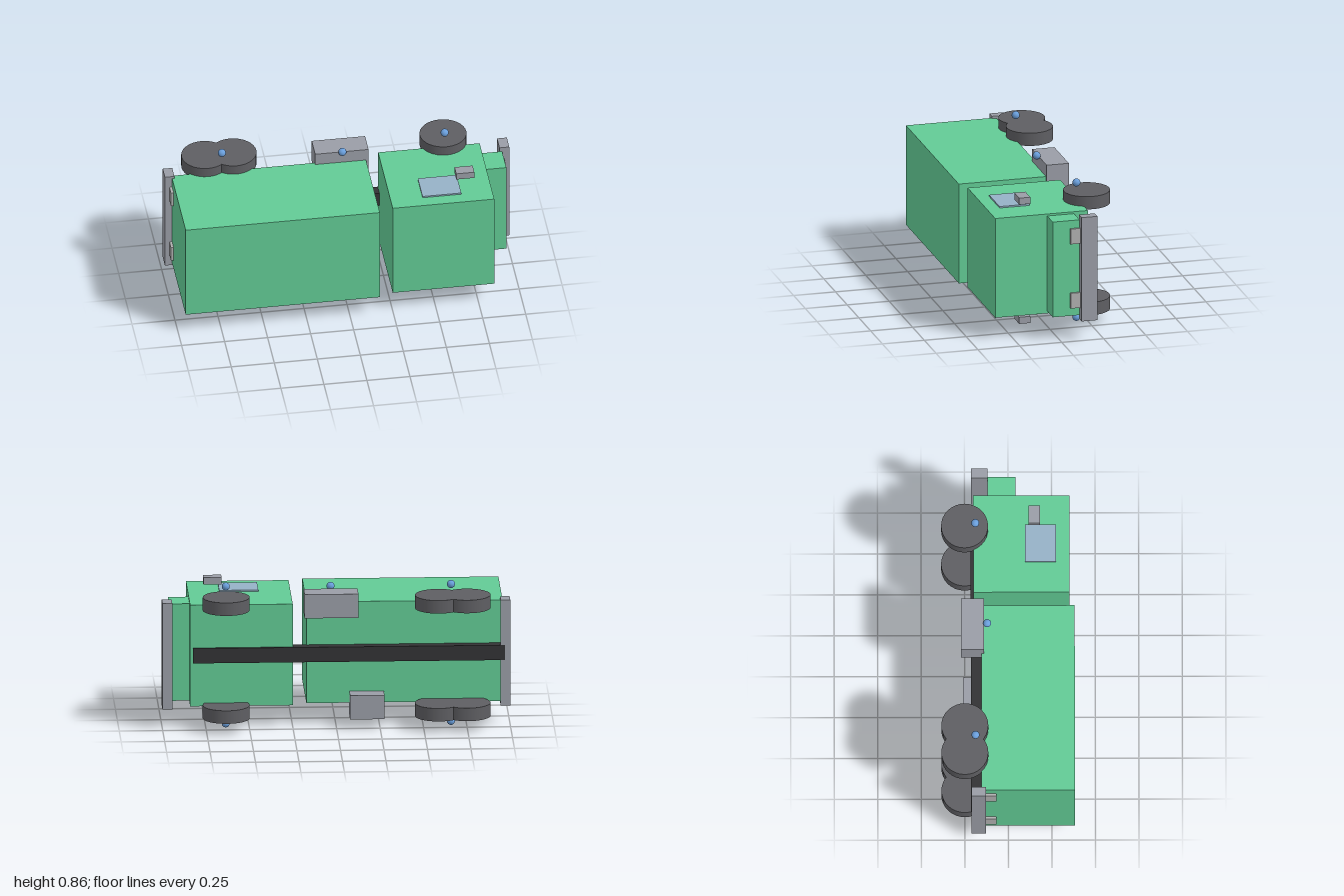
import * as THREE from 'three';

// Box truck lying on its side: nose towards +x, roof towards +z, width along y.
const MID = 0.43; // height of the truck's centre plane

const mat = (color) => new THREE.MeshStandardMaterial({ color });

export function createModel() {
  const truck = new THREE.Group();
  truck.name = 'truck';

  const paint = mat(0x62cb95);
  const metal = mat(0x9a9da6);
  const rubber = mat(0x5e5e62);
  const frame = mat(0x333335);
  const glass = mat(0x95b1c6);
  const lamp = mat(0xb0b0b0);
  const blue = mat(0x6a9fdc);

  const add = (name, geometry, material, x, y, z) => {
    const mesh = new THREE.Mesh(geometry, material);
    mesh.name = name;
    mesh.position.set(x, y, z);
    truck.add(mesh);
    return mesh;
  };

  // Box given by its limits along each axis
  const box = (name, material, [x0, x1], [y0, y1], [z0, z1]) =>
    add(name, new THREE.BoxGeometry(x1 - x0, y1 - y0, z1 - z0), material,
      (x0 + x1) / 2, (y0 + y1) / 2, (z0 + z1) / 2);

  // Body
  box('cargoBox', paint, [-0.958, 0.17], [0.13, 0.73], [-0.155, 0.382]);
  box('cab', paint, [0.25, 0.84], [0.13, 0.73], [-0.2, 0.352]);
  box('hood', paint, [0.84, 0.958], [0.143, 0.718], [-0.118, 0.042]);
  box('chassisRail', frame, [-0.97, 0.825], [0.388, 0.476], [-0.215, -0.15]);

  // Bumpers
  box('frontBumper', metal, [0.943, 1], [0.117, 0.744], [-0.212, -0.119]);
  box('rearBumper', metal, [-1, -0.945], [0.117, 0.744], [-0.212, -0.128]);

  // Side boxes below the body
  box('fuelTank', metal, [-0.125, 0.185], [0.662, 0.803], [-0.27, -0.138]);
  box('batteryBox', metal, [-0.275, -0.077], [0.057, 0.198], [-0.26, -0.138]);

  // Parts mirrored on both sides
  const wheel = new THREE.CylinderGeometry(0.135, 0.135, 0.077, 32);
  const ball = new THREE.SphereGeometry(0.023, 24, 16);
  for (const [label, s] of [['left', 1], ['right', -1]]) {
    const side = (a, b) => [MID + s * a, MID + s * b].sort((p, q) => p - q);

    for (const [name, x] of [['RearWheel', -0.75], ['MiddleWheel', -0.585], ['FrontWheel', 0.635]]) {
      add(label + name, wheel, rubber, x, MID + s * 0.32, -0.25);
    }
    for (const [name, x] of [['RearMarker', -0.66], ['FrontMarker', 0.635]]) {
      add(label + name, ball, blue, x, MID + s * 0.406, -0.189);
    }
    box(label + 'Window', glass, [0.435, 0.66], side(0.29, 0.309), [0.098, 0.276]);
    box(label + 'Mirror', metal, [0.645, 0.75], side(0.34, 0.38), [0.118, 0.184]);
    box(label + 'Headlight', lamp, [0.95, 0.97], side(0.148, 0.24), [-0.16, -0.062]);
    box(label + 'TailLight', lamp, [-0.974, -0.95], side(0.148, 0.24), [-0.16, -0.07]);
  }
  add('tankMarker', ball, blue, 0.03, 0.815, -0.121);

  return truck;
}
